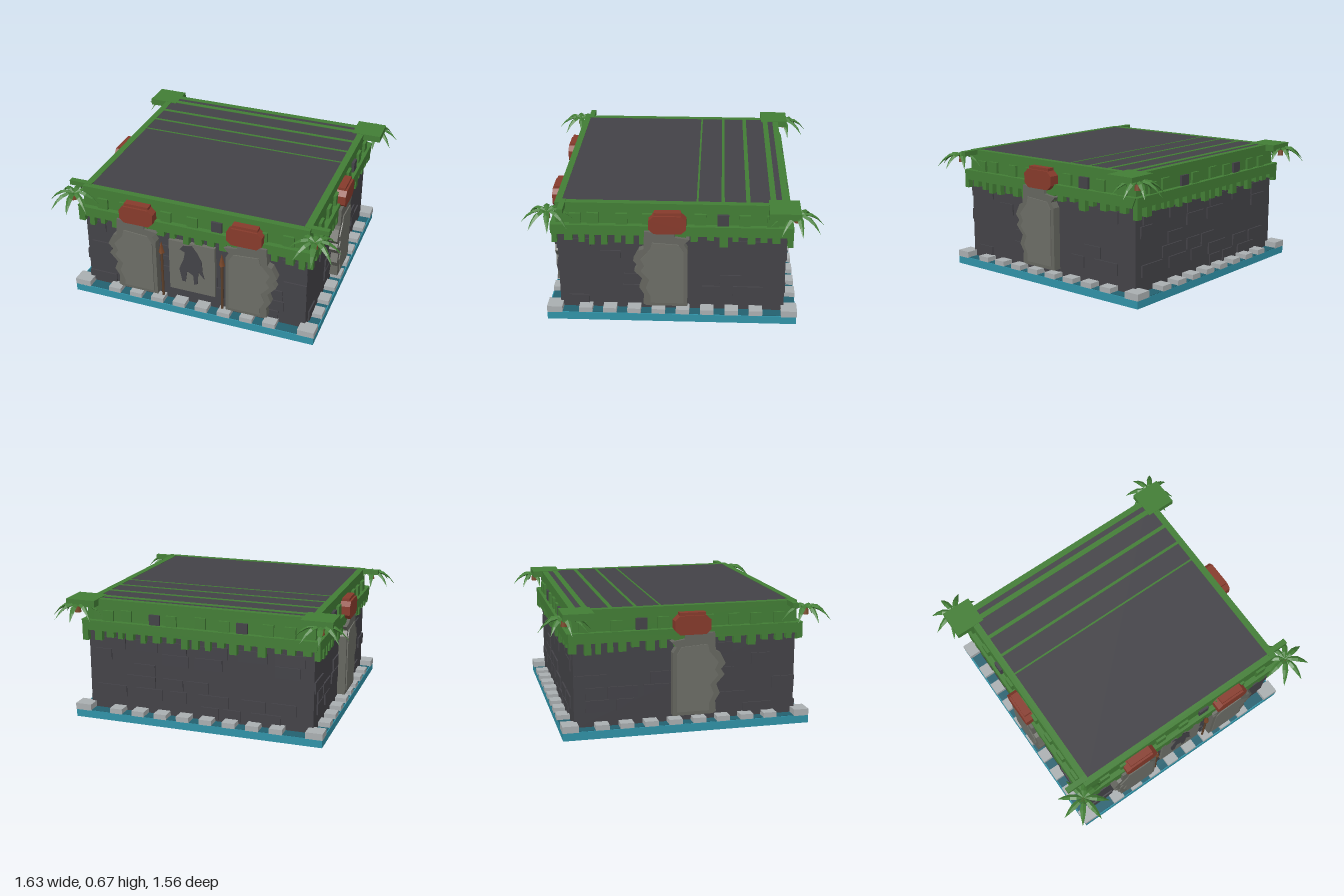
import * as THREE from 'three';

const mat = (name, color) => Object.assign(new THREE.MeshStandardMaterial({ color }), { name });
const M = {
  teal: mat('teal base', 0x3092a7),
  deepTeal: mat('deep teal channel', 0x23606f),
  tile: mat('pale edging', 0xa9aeb0),
  dark: mat('dark stone', 0x434247),
  green: mat('moss green', 0x427d35),
  slab: mat('slab grey', 0x65665f),
  inset: mat('slab inset grey', 0x6c6d66),
  red: mat('brick red', 0x863a2b),
  shaft: mat('shaft brown', 0x5c402b),
  tip: mat('tip brown', 0x7a4728),
};

let seed = 7;
const rnd = () => (seed = (seed * 16807) % 2147483647) / 2147483647;

function add(parent, name, geo, material, x = 0, y = 0, z = 0) {
  const m = new THREE.Mesh(geo, material);
  m.name = name;
  m.position.set(x, y, z);
  parent.add(m);
  return m;
}
// box given by its minimum and maximum corners
const box = (parent, name, material, x0, x1, y0, y1, z0, z1) =>
  add(parent, name, new THREE.BoxGeometry(x1 - x0, y1 - y0, z1 - z0), material,
    (x0 + x1) / 2, (y0 + y1) / 2, (z0 + z1) / 2);
// outline in x, y pushed out along z
const plate = (points, depth) => new THREE.ExtrudeGeometry(
  new THREE.Shape(points.map(p => new THREE.Vector2(...p))), { depth, bevelEnabled: false });

// broken stone slab with its red cap; flip = 1 puts the jagged edge at -x
function slab(parent, cx, wall, flip) {
  const g = new THREE.Group();
  g.name = 'slabWithCap';
  const outline = [[0.105, 0.09], [0.105, 0.43], [0.085, 0.46], [0.115, 0.49], [0.04, 0.50], [0.035, 0.53],
    [-0.12, 0.53], [-0.125, 0.43], [-0.15, 0.42], [-0.18, 0.36], [-0.155, 0.33], [-0.175, 0.30],
    [-0.13, 0.25], [-0.15, 0.20], [-0.125, 0.16], [-0.13, 0.10], [-0.11, 0.09]];
  const inner = [[0.085, 0.11], [0.085, 0.42], [0.06, 0.46], [-0.08, 0.47], [-0.09, 0.43], [-0.14, 0.37],
    [-0.12, 0.33], [-0.14, 0.30], [-0.095, 0.25], [-0.115, 0.20], [-0.09, 0.15], [-0.09, 0.11]];
  const mirror = pts => flip > 0 ? pts : pts.map(([x, y]) => [-x, y]).reverse();
  add(g, 'brokenSlab', plate(mirror(outline), 0.045), M.slab);
  add(g, 'slabFace', plate(mirror(inner), 0.007), M.inset, 0, 0, 0.044);
  const cap = [[-0.07, 0.525], [0.07, 0.525], [0.097, 0.55], [0.097, 0.60], [0.07, 0.625],
    [-0.07, 0.625], [-0.097, 0.60], [-0.097, 0.55]];
  add(g, 'redCap', plate(cap, 0.056), M.red);
  box(g, 'redCapTop', M.red, -0.07, 0.07, 0.62, 0.64, 0.005, 0.045);
  g.position.set(cx, 0, wall);
  parent.add(g);
}

// one side of the building, facing local +z; holes lists the dark parapet blocks
function side(name, half, wall, edge, angle, holes) {
  const g = new THREE.Group();
  g.name = name;
  g.rotation.y = angle;
  // raised bricks
  for (let row = 0; row < 6; row++) {
    let x = -half + rnd() * 0.1;
    while (x < half - 0.12) {
      const w = Math.min(0.09 + rnd() * 0.08, half - x), y = 0.06 + row * 0.068;
      if (rnd() < 0.5) box(g, 'brick', M.dark, x, x + w, y, y + 0.062, wall - 0.01, wall + 0.008);
      x += w + 0.02 + rnd() * 0.06;
    }
  }
  // ledge with hanging moss
  const e = half + 0.025;
  const pts = [[e, 0.555], [-e, 0.555]];
  for (let x = -e; x < e - 0.03;) {
    const w = 0.025 + rnd() * 0.02, y = 0.44 + rnd() * 0.04;
    pts.push([x, y], [x + w, y], [x + w, 0.50]);
    x = Math.min(x + w + 0.02 + rnd() * 0.03, e);
    pts.push([x, 0.50]);
  }
  add(g, 'hangingMoss', plate(pts, 0.03), M.green, 0, 0, wall + 0.003);
  // small blocks along the parapet
  for (let i = 0; i < 9; i++) {
    const x = (i - 4) * 0.13 + (rnd() - 0.5) * 0.04, y = 0.55 + rnd() * 0.01;
    box(g, 'parapetBlock', holes.includes(i) ? M.dark : M.green,
      x - 0.03, x + 0.03, y, y + 0.06, wall - 0.01, wall + 0.018);
  }
  // pale edging stones over a deep teal channel
  box(g, 'edgeChannel', M.deepTeal, -half, half, 0.04, 0.048, wall - 0.01, edge - 0.004);
  for (let x = -0.46; x < half - 0.1; x += 0.13)
    box(g, 'edgingStone', M.tile, x - 0.036, x + 0.036, 0.045, 0.074, wall - 0.01, edge);
  return g;
}

// four-sided pointed leaf, flattened and bent downwards, with flat faces
function leafGeometry() {
  const profile = [[0, 0], [0.014, 0.035], [0.016, 0.07], [0.010, 0.105], [0, 0.14]];
  const geo = new THREE.LatheGeometry(profile.map(p => new THREE.Vector2(...p)), 4)
    .rotateX(Math.PI / 2).toNonIndexed();
  const p = geo.attributes.position;
  for (let k = 0; k < p.count; k++) {
    const t = p.getZ(k) / 0.14;
    p.setY(k, p.getY(k) * 0.6 + 0.07 * t - 0.13 * t * t);
  }
  geo.computeVertexNormals();
  return geo;
}

function palm(x, z) {
  const g = new THREE.Group();
  g.name = 'cornerPalm';
  add(g, 'palmStub', new THREE.CylinderGeometry(0.014, 0.018, 0.035, 6), M.tip, 0, -0.018, 0);
  const leaf = leafGeometry();
  for (let i = 0; i < 8; i++) add(g, 'palmLeaf', leaf, M.green).rotation.y = i * Math.PI / 4 + 0.15;
  g.position.set(x, 0.635, z);
  return g;
}

export function createModel() {
  const root = new THREE.Group();
  root.name = 'stoneHall';

  // base with a dark patch underneath, walls and core that forms the roof
  box(root, 'base', M.teal, -0.7, 0.7, 0.002, 0.046, -0.667, 0.667);
  const patch = [[-0.6, -0.57], [-0.5, -0.57], [0.42, 0.57], [-0.6, 0.57]];
  add(root, 'undersidePatch', plate(patch, 0.005).rotateX(Math.PI / 2), M.dark, 0, 0.005, 0);
  box(root, 'walls', M.dark, -0.635, 0.635, 0.04, 0.55, -0.6, 0.6);
  box(root, 'roofCore', M.dark, -0.605, 0.605, 0.5, 0.668, -0.575, 0.575);

  // narrowing moss stripes across the back of the roof
  [[-0.525, 0.03], [-0.395, 0.022], [-0.265, 0.016], [-0.133, 0.01]].forEach(([z, w]) =>
    box(root, 'roofStripe', M.green, -0.6, 0.6, 0.664, 0.67, z - w / 2, z + w / 2));

  // parapet rim around the roof
  for (const s of [-1, 1]) {
    const [x0, x1] = s > 0 ? [0.6, 0.637] : [-0.637, -0.6];
    const [z0, z1] = s > 0 ? [0.57, 0.605] : [-0.605, -0.57];
    box(root, 'parapetSide', M.green, x0, x1, 0.54, 0.67, -0.605, 0.605);
    box(root, 'parapetEnd', M.green, -0.6, 0.6, 0.54, 0.67, z0, z1);
  }

  const front = side('frontSide', 0.635, 0.6, 0.665, 0, [5]);
  const back = side('backSide', 0.635, 0.6, 0.67, Math.PI, [2, 6]);
  const left = side('leftSide', 0.6, 0.635, 0.698, Math.PI / 2, [6]);
  const right = side('rightSide', 0.6, 0.635, 0.698, -Math.PI / 2, [2]);
  root.add(front, back, left, right);

  // slabs
  slab(front, -0.305, 0.602, 1);
  slab(front, 0.305, 0.602, -1);
  slab(left, -0.02, 0.64, 1);
  slab(right, 0.02, 0.64, -1);

  // central panel with a dark perched bird
  box(front, 'centrePanel', M.inset, -0.135, 0.13, 0.135, 0.45, 0.59, 0.622);
  const bird = [[-0.07, 0.405], [-0.05, 0.43], [0, 0.44], [0.03, 0.40], [0.055, 0.35], [0.06, 0.28],
    [0.07, 0.24], [0.035, 0.28], [0.03, 0.20], [0.01, 0.19], [0.005, 0.25], [-0.03, 0.27],
    [-0.04, 0.20], [-0.06, 0.20], [-0.075, 0.28], [-0.05, 0.34], [-0.04, 0.39]];
  add(front, 'birdFigure', plate(bird, 0.005), M.dark, 0, 0, 0.621);

  // spears either side of the panel
  for (const x of [-0.177, 0.172]) {
    add(front, 'spearShaft', new THREE.CylinderGeometry(0.007, 0.007, 0.3, 6), M.shaft, x, 0.22, 0.625);
    add(front, 'spearTip', new THREE.ConeGeometry(0.018, 0.075, 4), M.tip, x, 0.395, 0.625);
  }

  // corners
  for (const s of [-1, 1]) {
    const span = (a, b) => s > 0 ? [a, b] : [-b, -a];
    box(root, 'backCornerPad', M.green, ...span(0.57, 0.737), 0.635, 0.672, -0.66, -0.5);
    box(root, 'frontCornerPad', M.green, ...span(0.6, 0.73), 0.645, 0.672, 0.55, 0.58);
    for (const z of [-1, 1]) {
      root.add(palm(s * 0.675, z * (z > 0 ? 0.64 : 0.645)));
      const [z0, z1] = z > 0 ? [0.585, 0.667] : [-0.67, -0.585];
      box(root, 'cornerEdgingStone', M.tile, ...span(0.61, 0.702), 0.044, 0.08, z0, z1);
    }
  }
  return root;
}
